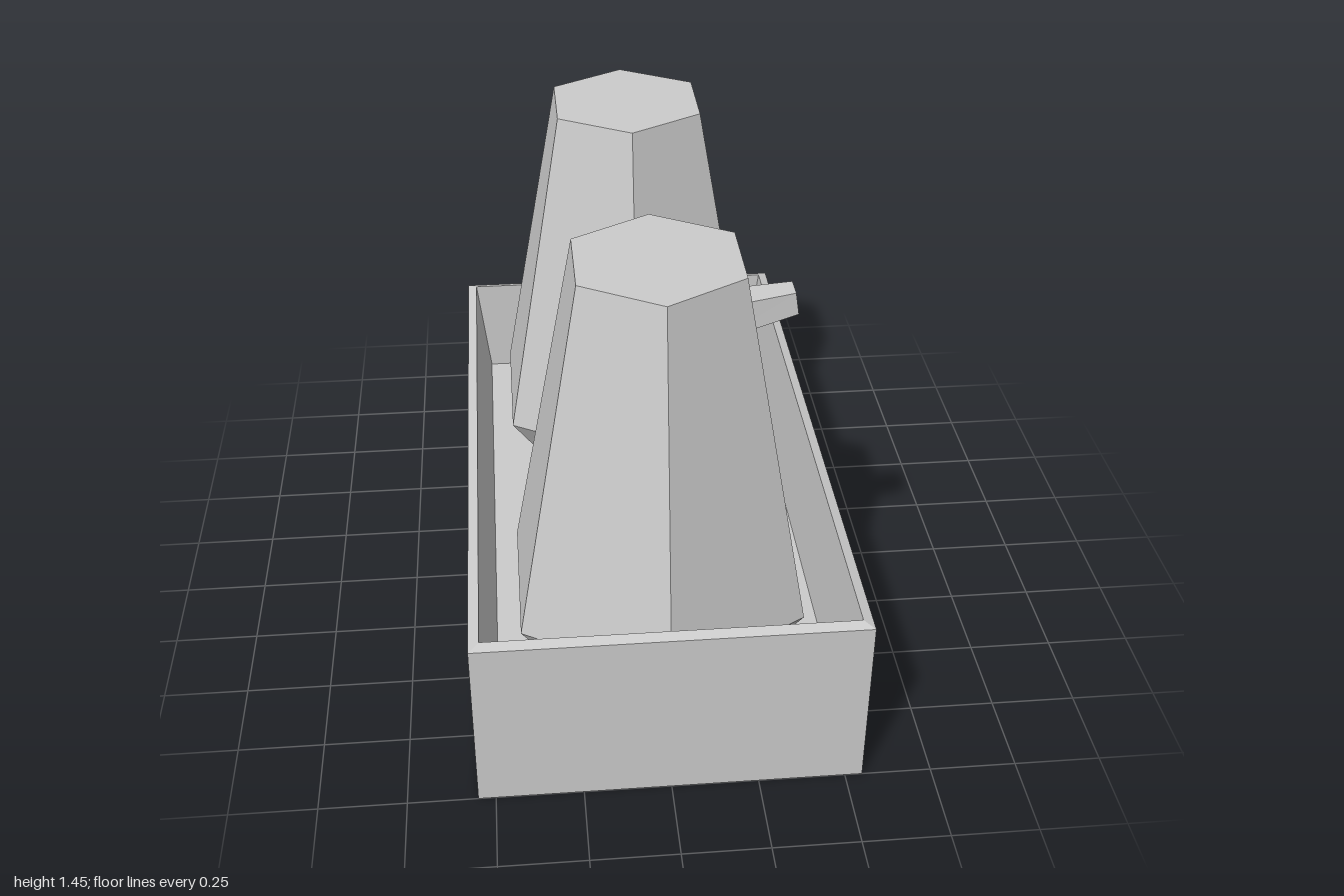
import * as THREE from 'three';

const material = new THREE.MeshStandardMaterial({ color: 0xcccccc, flatShading: true });
const FLOOR = 0.22;

function part(name, geometry, parent) {
  const mesh = new THREE.Mesh(geometry, material);
  mesh.name = name;
  parent.add(mesh);
  return mesh;
}

// Skin a stack of rectangular rings [halfX, halfZ, y], capped at both ends
function ringSkin(rings) {
  const corners = rings.map(([x, z, y]) => [[x, y, z], [x, y, -z], [-x, y, -z], [-x, y, z]]);
  const pos = [];
  const quad = (a, b, c, d) => pos.push(...a, ...b, ...c, ...a, ...c, ...d);
  for (let i = 0; i < corners.length - 1; i++) {
    for (let k = 0; k < 4; k++) {
      const n = (k + 1) % 4;
      quad(corners[i][k], corners[i][n], corners[i + 1][n], corners[i + 1][k]);
    }
  }
  const first = corners[0], last = corners[corners.length - 1];
  quad(first[3], first[2], first[1], first[0]);
  quad(...last);
  const geometry = new THREE.BufferGeometry();
  geometry.setAttribute('position', new THREE.Float32BufferAttribute(pos, 3));
  geometry.computeVertexNormals();
  return geometry;
}

// Six-sided tapered tower, undercut below its widest edge
function towerGeometry() {
  const profile = [[0, FLOOR], [0.35, FLOOR], [0.468, 0.39], [0.256, 1.45], [0, 1.45]];
  return new THREE.LatheGeometry(profile.map(([r, y]) => new THREE.Vector2(r, y)), 6);
}

// Tapered peg tilted slightly upward, its root sunk into the tower
function pegGeometry() {
  const geometry = new THREE.BoxGeometry(2, 2, 2);
  const p = geometry.attributes.position;
  for (let i = 0; i < p.count; i++) {
    const tip = p.getX(i) > 0, top = p.getY(i) > 0;
    const x = tip ? (top ? 0.365 : 0.375) : 0.15;
    const y = tip ? (top ? 1.345 : 1.28) : (top ? 1.318 : 1.215);
    p.setXYZ(i, x, y, Math.sign(p.getZ(i)) * (tip ? 0.033 : 0.05));
  }
  geometry.computeVertexNormals();
  return geometry;
}

export function createModel() {
  const model = new THREE.Group();
  model.name = 'trayWithTowers';

  // Open tray: outer wall, sloped rim, inner wall and floor
  part('tray', ringSkin([
    [0.55, 1, 0], [0.55, 1, 0.545], [0.52, 0.97, 0.555], [0.48, 0.97, FLOOR],
  ]), model);

  // Two towers standing in the tray
  for (const [name, z] of [['frontTower', 0.522], ['backTower', -0.533]]) {
    part(name, towerGeometry(), model).position.set(-0.003, 0, z);
  }

  // Small peg on the front tower
  part('peg', pegGeometry(), model).position.z = 0.522;

  return model;
}
